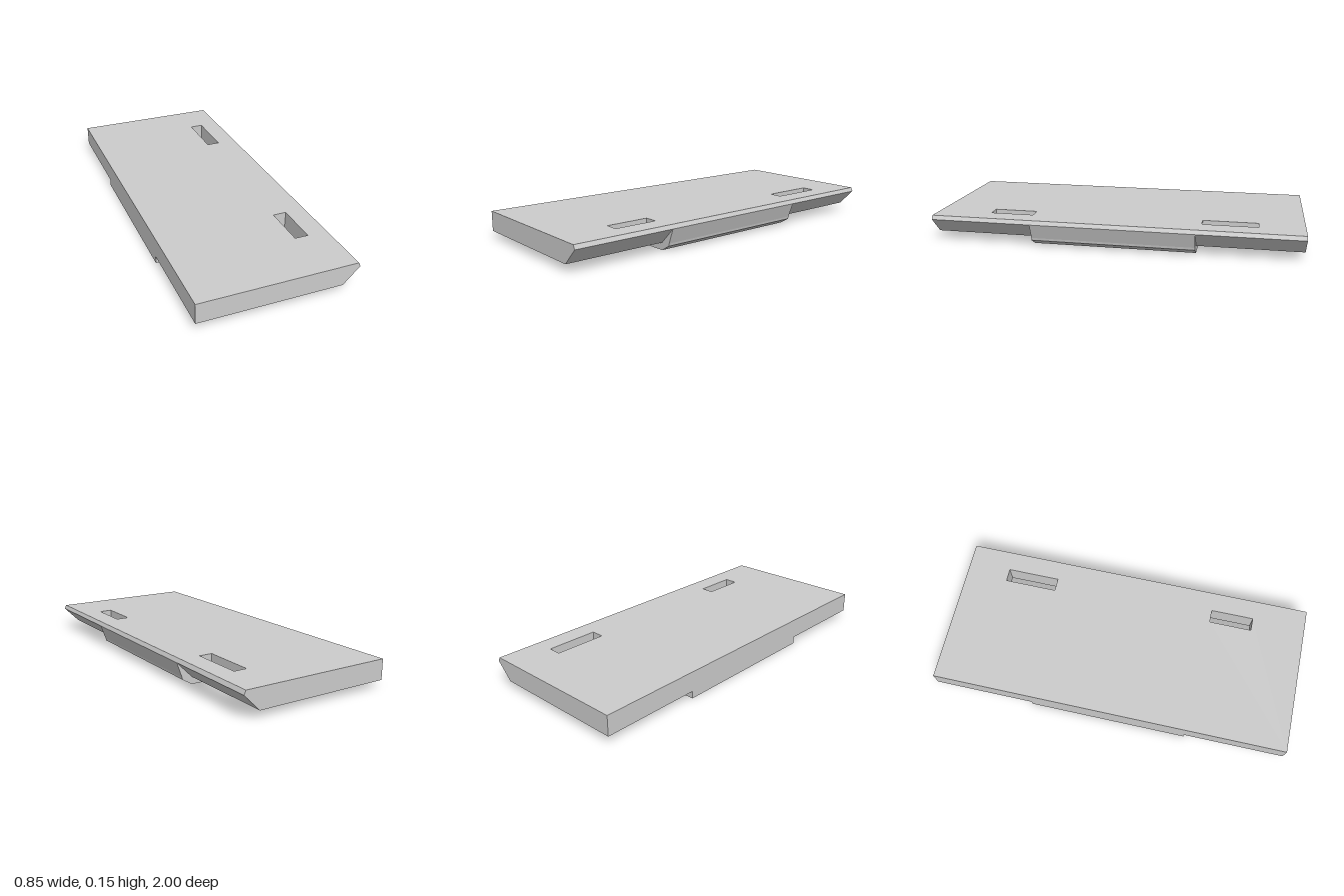
import * as THREE from 'three';

const BACK = -0.427, FOOT = 0.337, TIP = 0.425, LIP = 0.415;
const LOW = 0.04, EDGE = 0.128, TOP = 0.15;

// Clockwise or anticlockwise rectangle in the plan (x, -z)
function rectangle(target, x0, x1, z0, z1) {
  target.moveTo(x0, -z1);
  target.lineTo(x1, -z1);
  target.lineTo(x1, -z0);
  target.lineTo(x0, -z0);
  target.closePath();
  return target;
}

export function createModel() {
  const group = new THREE.Group();
  group.name = 'slottedPlate';
  const material = new THREE.MeshStandardMaterial({ color: 0xcccccc, flatShading: true });
  const add = (geometry, name) => {
    const mesh = new THREE.Mesh(geometry, material);
    mesh.name = name;
    group.add(mesh);
  };

  // Plate with two through slots, extruded upwards in two layers
  const plan = rectangle(new THREE.Shape(), BACK, TIP, -1, 1);
  for (const [z0, z1] of [[-0.76, -0.465], [0.46, 0.70]]) {
    plan.holes.push(rectangle(new THREE.Path(), 0.232, 0.305, z0, z1));
  }
  const plate = new THREE.ExtrudeGeometry(plan, { depth: TOP - LOW, steps: 2, bevelEnabled: false });
  plate.rotateX(-Math.PI / 2);

  // Shift the layers and slope the +x edge into an undercut with a small top bevel
  const p = plate.attributes.position;
  for (let i = 0; i < p.count; i++) {
    const layer = Math.round(p.getY(i) / (TOP - LOW) * 2);
    p.setY(i, [LOW, EDGE, TOP][layer]);
    if (p.getX(i) > 0.4) p.setX(i, [FOOT, TIP, LIP][layer]);
  }
  plate.computeVertexNormals();
  add(plate, 'plate');

  // Central raised pad beneath, with a nose that rises to the plate's edge
  const profile = new THREE.Shape([
    [BACK, 0], [FOOT, 0], [0.392, 0.033], [0.395, 0.047], [TIP, EDGE], [FOOT, LOW], [BACK, LOW],
  ].map(([x, y]) => new THREE.Vector2(x, y)));
  const pad = new THREE.ExtrudeGeometry(profile, { depth: 0.885, bevelEnabled: false });
  pad.translate(0, 0, -0.4425);
  add(pad, 'undersidePad');

  return group;
}
